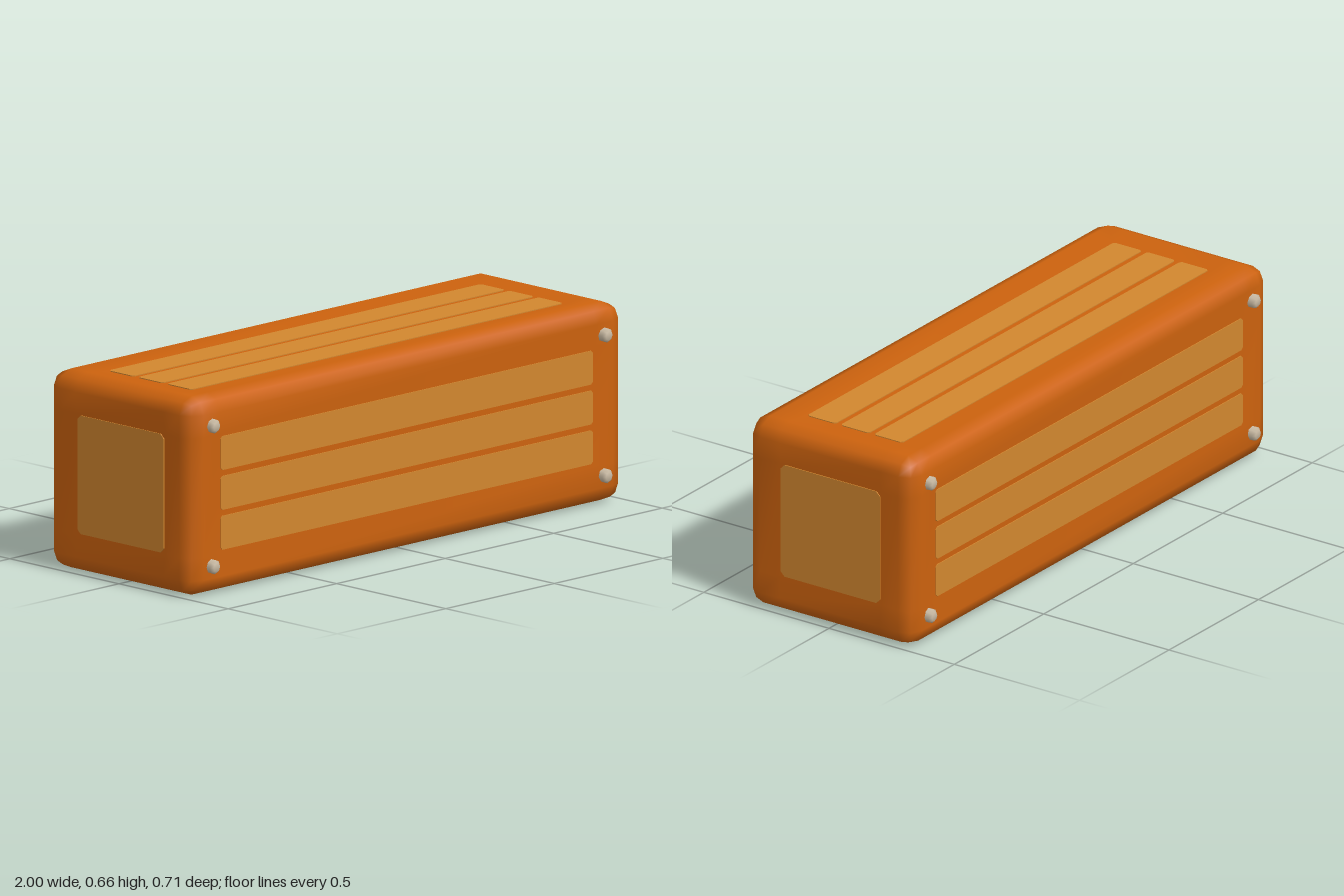
import * as THREE from 'three';
import { mergeVertices } from 'three/addons/utils/BufferGeometryUtils.js';

const HALF = new THREE.Vector3(1, 0.332, 0.332);
const ROUND = 0.057;   // edge rounding
const RIM = 0.132;     // width of the raised rim around each face
const RECESS = 0.01;   // depth of the sunken panels

// Rounded block whose six faces are sunk slightly inside a soft rim
function bodyGeometry() {
  const box = new THREE.BoxGeometry(1, 1, 1, 5, 5, 5);
  const pos = box.attributes.position;
  const axes = ['x', 'y', 'z'];
  const v = new THREE.Vector3();
  for (let i = 0; i < pos.count; i++) {
    v.fromBufferAttribute(pos, i);
    const out = new THREE.Vector3();
    const p = new THREE.Vector3();
    let inner = 0;
    for (const a of axes) {
      const s = Math.sign(v[a]);
      const d = Math.abs(v[a]);
      if (d > 0.4) out[a] = s;
      if (d < 0.2) inner++;
      p[a] = s * (HALF[a] - (d < 0.2 ? RIM : ROUND));
    }
    p.addScaledVector(out.normalize(), inner === 2 ? ROUND - RECESS : ROUND);
    pos.setXYZ(i, p.x, p.y, p.z);
  }
  box.deleteAttribute('normal');
  box.deleteAttribute('uv');
  const smooth = mergeVertices(box, 1e-4);
  smooth.computeVertexNormals();
  return smooth;
}

// Thin plate facing +z with small cut corners
function plateGeometry(w, h, c) {
  const x = w / 2, y = h / 2;
  const corners = [
    [x - c, -y], [x, -y + c], [x, y - c], [x - c, y],
    [-x + c, y], [-x, y - c], [-x, -y + c], [-x + c, -y],
  ];
  const shape = new THREE.Shape(corners.map(([a, b]) => new THREE.Vector2(a, b)));
  return new THREE.ExtrudeGeometry(shape, { depth: 0.008, bevelEnabled: false });
}

export function createModel() {
  const orange = new THREE.MeshStandardMaterial({ color: 0xcc620e });
  orange.name = 'burnt orange';
  const amber = new THREE.MeshStandardMaterial({ color: 0xd2872f });
  amber.name = 'light amber';
  const metal = new THREE.MeshStandardMaterial({ color: 0xc8b9a2 });
  metal.name = 'pale metal';

  const model = new THREE.Group();
  model.name = 'slattedBlock';
  const add = (parent, name, geometry, material, x = 0, y = 0, z = 0) => {
    const mesh = new THREE.Mesh(geometry, material);
    mesh.name = name;
    mesh.position.set(x, y, z);
    parent.add(mesh);
    return mesh;
  };

  const block = new THREE.Group();
  block.name = 'block';
  block.position.y = HALF.y;
  model.add(block);
  add(block, 'body', bodyGeometry(), orange);

  const slat = plateGeometry(1.714, 0.113, 0.008);
  const endPlate = plateGeometry(0.396, 0.396, 0.015);
  const bolt = new THREE.LatheGeometry(
    [[0.024, -0.03], [0.024, 0.012], [0.015, 0.021], [0, 0.021]]
      .map(([r, y]) => new THREE.Vector2(r, y)), 8);
  bolt.rotateX(Math.PI / 2);

  // Three slats on each long side, bolts on front and back only
  const lift = 0.005 + RECESS; // leaves the plate 0.003 proud of the sunken face
  ['front', 'bottom', 'back', 'top'].forEach((name, k) => {
    const side = new THREE.Group();
    side.name = name + 'Side';
    side.rotation.x = k * Math.PI / 2;
    block.add(side);
    for (const y of [-0.133, 0, 0.133]) add(side, 'slat', slat, amber, 0, y, HALF.z - lift);
    if (k % 2 === 0) {
      for (const x of [-0.904, 0.904]) {
        for (const y of [-0.235, 0.235]) add(side, 'bolt', bolt, metal, x, y, HALF.z);
      }
    }
  });

  // Square plate on each end
  for (const s of [-1, 1]) {
    const plate = add(block, s > 0 ? 'leftEndPlate' : 'rightEndPlate', endPlate, amber, s * (HALF.x - lift));
    plate.rotation.y = s * Math.PI / 2;
  }
  return model;
}
